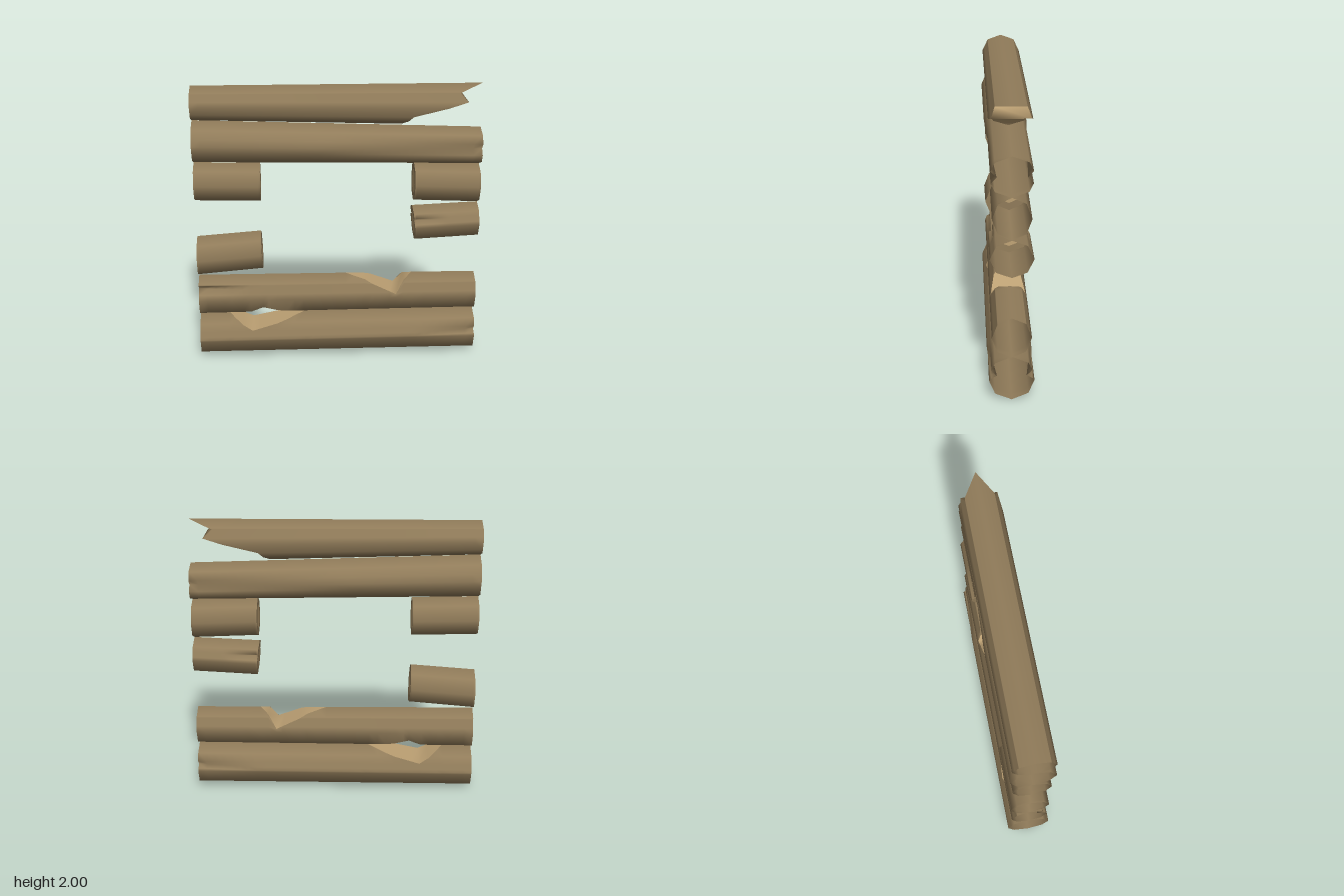
import * as THREE from 'three';
import { mergeVertices } from 'three/addons/utils/BufferGeometryUtils.js';

const mat = (name, color) => {
  const m = new THREE.MeshStandardMaterial({ color, side: THREE.DoubleSide });
  m.name = name;
  return m;
};
const { lerp, clamp } = THREE.MathUtils;

// piecewise-linear lookup; outside its range it returns the fallback
function along(points, x, fallback) {
  for (let i = 0; i + 1 < points.length; i++) {
    const [a, ya] = points[i], [b, yb] = points[i + 1];
    if (x >= a && x <= b) return lerp(ya, yb, (x - a) / (b - a));
  }
  return fallback;
}

// surface through rows of points, optionally with reversed winding
function grid(rows, flip = false) {
  const pos = rows.flat(2), index = [], n = rows[0].length;
  for (let j = 0; j + 1 < rows.length; j++) {
    for (let i = 0; i + 1 < n; i++) {
      const a = j * n + i, b = a + n, c = a + 1, d = b + 1;
      index.push(...(flip ? [a, c, b, c, d, b] : [a, b, c, c, b, d]));
    }
  }
  const g = new THREE.BufferGeometry();
  g.setAttribute('position', new THREE.Float32BufferAttribute(pos, 3));
  g.setIndex(index);
  return g;
}
function smooth(g) {
  const m = mergeVertices(g, 1e-4);
  m.computeVertexNormals();
  return m;
}
function flat(g) {
  const m = g.toNonIndexed();
  m.computeVertexNormals();
  return m;
}

// half outline of the eight-sided trunk: height u from -1 to 1 -> half width
const R = Math.SQRT1_2;
const OUTLINE = [[-1, 0], [-R, R], [0, 1], [R, R], [1, 0]];
const STEPS = 32;

export function createModel() {
  const bark = mat('bark', 0x917c5a);
  const wood = mat('cut wood', 0xbca073);
  const model = new THREE.Group();
  model.name = 'logWall';

  // left / right: [bottom, top] at x = ends[0] / ends[1]
  function addLog(name, o) {
    const { ends, left, right, half, top = [], bottom = [], cracks = [], levels = [] } = o;
    const x0 = o.startAt ?? (() => ends[0]), x1 = o.endAt ?? (() => ends[1]);
    const group = new THREE.Group();
    group.name = name;
    const add = (part, geometry, material) => {
      const mesh = new THREE.Mesh(geometry, material);
      mesh.name = part;
      group.add(mesh);
    };

    // heights of the lengthwise rows, and stations snapped to the notch corners
    const us = [...new Set([1, R, 0, -R, -1, ...levels,
      ...cracks.flatMap((c) => [c.u - c.h, c.u, c.u + c.h])])].sort((a, b) => b - a);
    const ts = Array.from({ length: STEPS + 1 }, (_, i) => i / STEPS);
    for (const [x] of [...top, ...bottom]) {
      const t = (x - ends[0]) / (ends[1] - ends[0]);
      ts[Math.round(t * STEPS)] = t;
    }

    const section = (x) => {
      const t = (x - ends[0]) / (ends[1] - ends[0]);
      const lo = lerp(left[0], right[0], t), hi = lerp(left[1], right[1], t);
      return { c: (lo + hi) / 2, r: (hi - lo) / 2 };
    };
    const point = (u, t, side) => {
      const x = lerp(x0(u), x1(u), t), { c, r } = section(x);
      const y = clamp(c + u * r, along(bottom, x, -9), along(top, x, 9));
      let z = half * along(OUTLINE, clamp((y - c) / r, -1, 1), 0);
      for (const k of cracks) {
        if (k.side && k.side !== side) continue;
        z -= k.depth * clamp((x - k.to) / (k.from - k.to), 0, 1) * Math.max(0, 1 - Math.abs(u - k.u) / k.h);
      }
      return [x, y, side * z];
    };

    // bark, front and back joined into one smooth skin
    const front = grid(us.map((u) => ts.map((t) => point(u, t, 1))));
    const back = grid(us.map((u) => ts.map((t) => point(u, t, -1))), true);
    const offset = front.attributes.position.count;
    const skin = new THREE.BufferGeometry();
    skin.setAttribute('position', new THREE.Float32BufferAttribute(
      [...front.attributes.position.array, ...back.attributes.position.array], 3));
    skin.setIndex([...front.index.array, ...Array.from(back.index.array, (i) => i + offset)]);
    add('bark', smooth(skin), bark);

    // bare wood in the notches
    for (const [profile, u, part] of [[top, 1, 'topNotch'], [bottom, -1, 'bottomNotch']]) {
      if (!profile.length) continue;
      const inside = ts.filter((t) => {
        const x = lerp(ends[0], ends[1], t);
        return x > profile[0][0] - 1e-4 && x < profile.at(-1)[0] + 1e-4;
      });
      add(part, smooth(grid([-1, 1].map((s) => inside.map((t) => point(u, t, s))), u < 0)), wood);
    }

    // splintered end
    if (o.broken) {
      add('brokenEnd', smooth(grid([-1, 1].map((s) => us.map((u) => point(u, 1, s))))), wood);
    }

    // sawn end: a bark rim around a disc of bare wood
    if (o.cap !== undefined) {
      const loop = [...us.map((u) => point(u, o.cap, 1)),
        ...[...us].reverse().map((u) => point(u, o.cap, -1))];
      loop.push(loop[0]);
      const a = point(1, o.cap, 1), b = point(-1, o.cap, 1);
      const mid = [(a[0] + b[0]) / 2, (a[1] + b[1]) / 2, 0];
      const inner = loop.map((p) => p.map((v, i) => lerp(mid[i], v, 0.64)));
      const flip = o.cap === 1;
      add('endRim', flat(grid([loop, inner], flip)), bark);
      add('endDisc', flat(grid([inner, inner.map(() => mid)], flip)), wood);
    }
    model.add(group);
  }

  // top log with a broken right end
  const breakLine = [[-1, 0.45], [-0.87, 0.46], [-0.47, 0.52], [0.27, 0.89], [0.67, 0.83], [1, 1]];
  addLog('topLog', {
    ends: [-1, 1], left: [1.76, 2], right: [1.7, 2], half: 0.14, broken: true,
    levels: breakLine.slice(1, -1).map((p) => p[0]), endAt: (u) => along(breakLine, u, 1),
  });
  addLog('lintelLog', {
    ends: [-1, 1], left: [1.46, 1.76], right: [1.425, 1.69], half: 0.15,
    cracks: [{ u: 0, h: 0.3, depth: 0.055, from: 1, to: -0.1 }],
  });

  // short logs beside the opening
  addLog('upperLeftStub', {
    ends: [-1, -0.54], left: [1.18, 1.46], right: [1.17, 1.45], half: 0.13, cap: 1,
  });
  addLog('upperRightStub', {
    ends: [0.54, 1], left: [1.16, 1.44], right: [1.14, 1.425], half: 0.125, cap: 0,
  });
  addLog('lowerLeftStub', {
    ends: [-1, -0.54], left: [0.615, 0.91], right: [0.655, 0.945], half: 0.135, cap: 1,
    endAt: (u) => -0.54 - 0.006 * u,
  });
  addLog('lowerRightStub', {
    ends: [0.545, 1], left: [0.86, 1.12], right: [0.885, 1.14], half: 0.14, cap: 0,
    startAt: (u) => 0.545 - 0.01 * u,
    cracks: [{ u: 0.32, h: 0.15, depth: 0.055, from: 0.54, to: 0.78 }],
  });

  // long logs under the opening, with notches
  addLog('sillLog', {
    ends: [-1, 1], left: [0.305, 0.61], right: [0.315, 0.6], half: 0.13,
    top: [[0.06, 0.605], [0.2, 0.575], [0.42, 0.48], [0.48, 0.57], [0.54, 0.605]],
    bottom: [[-0.76, 0.3], [-0.63, 0.33], [-0.54, 0.39], [-0.25, 0.305]],
    cracks: [{ u: 0.45, h: 0.2, depth: 0.05, from: -1, to: -0.62, side: 1 }],
  });
  addLog('bottomLog', {
    ends: [-1, 1], left: [0, 0.31], right: [0, 0.32], half: 0.155,
    top: [[-0.79, 0.312], [-0.62, 0.215], [-0.23, 0.315]],
    cracks: [{ u: 0.13, h: 0.22, depth: 0.05, from: 1, to: 0.57 }],
  });
  return model;
}
